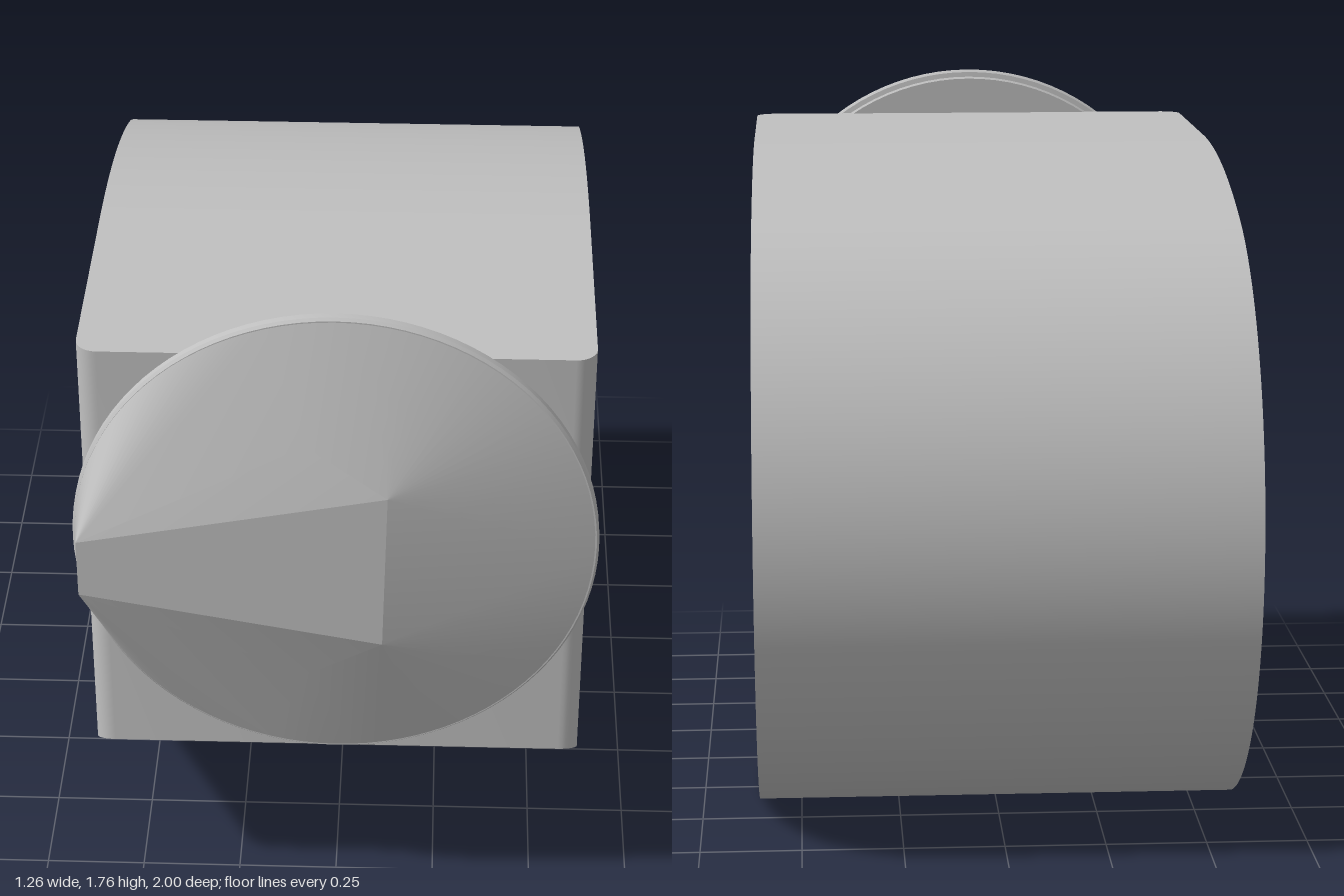
import * as THREE from 'three';
import { toCreasedNormals } from 'three/addons/utils/BufferGeometryUtils.js';
import { ConvexGeometry } from 'three/addons/geometries/ConvexGeometry.js';

const grey = new THREE.MeshStandardMaterial({ color: 0xc0c0c0 });
grey.name = 'plain grey';

function part(name, geometry, parent) {
  const mesh = new THREE.Mesh(geometry, grey);
  mesh.name = name;
  parent.add(mesh);
  return mesh;
}

// Side profile [z, y] of the housing, from the top front edge round the back
function housingProfile(front) {
  const slope = Math.tan(Math.PI / 6);
  const pts = [[front, 1.64]];
  const shoulder = new THREE.QuadraticBezierCurve(
    new THREE.Vector2(0.25, 1.64), new THREE.Vector2(-0.15, 1.64), new THREE.Vector2(-0.4995, 1.508));
  shoulder.getPoints(16).forEach((p) => pts.push([p.x, p.y]));
  for (let i = 1; i <= 72; i++) {
    const a = THREE.MathUtils.degToRad(21 + (189 * i) / 72);
    pts.push([-0.22 - 0.78 * Math.sin(a), 0.78 + 0.78 * Math.cos(a)]);
  }
  pts.push([front, 0.1045 + slope * (front - 0.17)]);
  return pts;
}

// Housing lofted across x, with rounded upright front corners
function housingGeometry() {
  const r = 0.05, steps = 8, x0 = -0.595, x1 = 0.605;
  const sections = [];
  for (let i = 0; i <= steps; i++) {
    const a = (i / steps) * Math.PI / 2;
    sections.push([x0 + r * (1 - Math.cos(a)), 0.845 - r + r * Math.sin(a)]);
  }
  for (let i = steps; i >= 0; i--) sections.push([x0 + x1 - sections[i][0], sections[i][1]]);

  const pos = [], index = [];
  let n = 0;
  for (const [x, front] of sections) {
    const profile = housingProfile(front);
    n = profile.length;
    for (const [z, y] of profile) pos.push(x, y, z);
  }
  const last = (sections.length - 1) * n;
  for (let s = 0; s < sections.length - 1; s++) {
    for (let i = 0; i < n; i++) {
      const j = (i + 1) % n;
      const a = s * n + i, b = s * n + j, c = a + n, d = b + n;
      index.push(a, c, b, b, c, d);
    }
  }
  // flat side faces
  const centre = pos.length / 3;
  pos.push(x0, 0.8, -0.1, x1, 0.8, -0.1);
  for (let i = 0; i < n; i++) {
    const j = (i + 1) % n;
    index.push(centre, i, j, centre + 1, last + j, last + i);
  }
  const g = new THREE.BufferGeometry();
  g.setAttribute('position', new THREE.Float32BufferAttribute(pos, 3));
  g.setIndex(index);
  return toCreasedNormals(g, 0.45);
}

// Faceted cap: hull from a round base to an off-centre ridge
function capGeometry() {
  const pts = [
    [0.13, 1.35, 1], [0.12, 0.93, 1], [-0.595, 1.21, 1], [-0.595, 1.06, 1],
    [-0.06, 1.47, 0.967], [-0.06, 0.81, 0.967],
  ].map((p) => new THREE.Vector3(...p));
  for (let i = 0; i < 96; i++) {
    const a = (i / 96) * Math.PI * 2;
    pts.push(new THREE.Vector3(0.005 + 0.617 * Math.cos(a), 1.137 + 0.617 * Math.sin(a), 0.878));
  }
  return toCreasedNormals(new ConvexGeometry(pts), 0.15);
}

function circleHole(angle, radius) {
  const a = THREE.MathUtils.degToRad(angle);
  return new THREE.Path().absarc(0.25 * Math.cos(a), 0.25 * Math.sin(a), radius, 0, Math.PI * 2, true);
}

// Round plate outline with a centre hole and a slot open at the top
function plateShape() {
  const up = Math.PI / 2, outer = 0.335, inner = 0.135;
  const a = Math.asin(0.06 / outer), b = Math.asin(0.06 / inner);
  const shape = new THREE.Shape();
  shape.absarc(0, 0, outer, up + a, up - a + Math.PI * 2, false);
  shape.absarc(0, 0, inner, up - b, up + b, true);
  shape.closePath();
  return shape;
}

// Wavy pocket that swells around each screw hole
function pocket(from, to) {
  const steps = 40, edge = (sign, t) => {
    const a = THREE.MathUtils.degToRad(from + (to - from) * t);
    const r = 0.25 + sign * (0.026 + 0.016 * Math.cos(6 * a));
    return new THREE.Vector2(r * Math.cos(a), r * Math.sin(a));
  };
  const pts = [];
  for (let i = 0; i <= steps; i++) pts.push(edge(-1, i / steps));
  for (let i = steps; i >= 0; i--) pts.push(edge(1, i / steps));
  return new THREE.Path(pts);
}

export function createModel() {
  const model = new THREE.Group();
  model.name = 'housing with cap';

  part('housing', housingGeometry(), model);

  // Front cap and its rounded rim
  const rimProfile = [[0, 0.84], [0.6, 0.84], [0.605, 0.846], [0.618, 0.848], [0.623, 0.854],
    [0.623, 0.872], [0.617, 0.879], [0, 0.879]].map(([r, h]) => new THREE.Vector2(r, h));
  const rimGeometry = new THREE.LatheGeometry(rimProfile, 96);
  rimGeometry.rotateX(Math.PI / 2);
  const rim = part('cap rim', toCreasedNormals(rimGeometry, 0.6), model);
  rim.position.set(0.005, 1.137, 0);
  part('faceted cap', capGeometry(), model);

  // Mounting plate on the side: drilled base under a pocketed face
  const plate = new THREE.Group();
  plate.name = 'mounting plate';
  plate.position.set(-0.595, 0.77, -0.23);
  plate.rotation.y = -Math.PI / 2;
  model.add(plate);

  const base = plateShape();
  for (const angle of [0, 60, 120, 180, 240]) base.holes.push(circleHole(angle, 0.02));
  base.holes.push(circleHole(300, 0.038));
  part('plate base', new THREE.ExtrudeGeometry(base,
    { depth: 0.03, bevelEnabled: false, curveSegments: 48 }), plate);

  const face = plateShape();
  face.holes.push(pocket(-10, 70), pocket(110, 250), circleHole(300, 0.038));
  const faceMesh = part('plate face', toCreasedNormals(new THREE.ExtrudeGeometry(face, {
    depth: 0.008, bevelThickness: 0.006, bevelSize: 0.006, bevelOffset: -0.006,
    bevelSegments: 3, curveSegments: 48,
  }), 0.6), plate);
  faceMesh.position.z = 0.026;

  return model;
}
